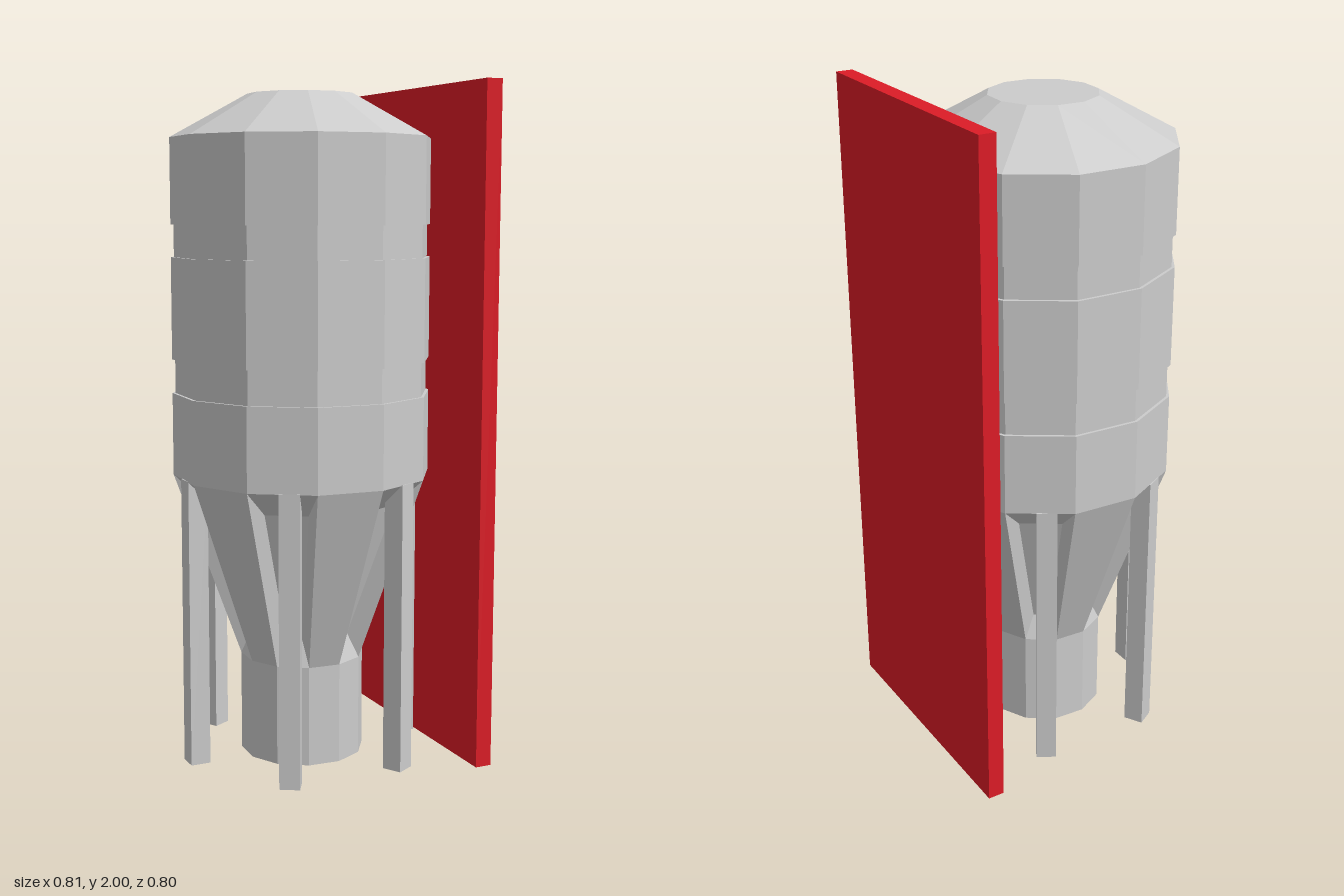
import * as THREE from 'three';

const SIDES = 12;
const STEP = (Math.PI * 2) / SIDES;
const TURN = THREE.MathUtils.degToRad(18); // angle of the first corner, from +x towards +z
const AXIS_X = -0.03;

const grey = new THREE.MeshStandardMaterial({ color: 0xcccccc, flatShading: true });
const red = new THREE.MeshStandardMaterial({ color: 0xdc1c26, flatShading: true });

function addMesh(parent, name, geometry, material = grey) {
  const mesh = new THREE.Mesh(geometry, material);
  mesh.name = name;
  parent.add(mesh);
  return mesh;
}

// Twelve-sided turned shell from a bottom-to-top profile of [radius, y]
function turned(profile) {
  const points = profile.map(([r, y]) => new THREE.Vector2(r, y));
  return new THREE.LatheGeometry(points, SIDES, Math.PI / 2 - TURN);
}

// Tapered hopper: every second facet carries a recessed panel behind a leg
function hopperGeometry(bottom, top) {
  const positions = [];
  const quad = (a, b, c, d) => {
    for (const p of [a, b, c, a, c, d]) positions.push(p.x, p.y, p.z);
  };
  const ringPoint = (i, { r, y }) =>
    new THREE.Vector3(r * Math.cos(TURN + i * STEP), y, r * Math.sin(TURN + i * STEP));

  for (let i = 0; i < SIDES; i++) {
    const outer = [
      ringPoint(i, bottom), ringPoint(i, top), ringPoint(i + 1, top), ringPoint(i + 1, bottom),
    ];
    if (i % 2 === 0) {
      quad(...outer);
      continue;
    }
    // Recess floor, given by distance from the axis, half width and height
    const mid = TURN + (i + 0.5) * STEP;
    const floorPoint = (dist, side, y) => new THREE.Vector3(
      dist * Math.cos(mid) - side * Math.sin(mid), y, dist * Math.sin(mid) + side * Math.cos(mid));
    const inner = [
      floorPoint(0.154, -0.024, 0.375), floorPoint(0.297, -0.063, 0.78),
      floorPoint(0.297, 0.063, 0.78), floorPoint(0.154, 0.024, 0.375),
    ];
    quad(...inner);
    for (let k = 0; k < 4; k++) {
      const n = (k + 1) % 4;
      quad(outer[k], outer[n], inner[n], inner[k]);
    }
  }
  const geometry = new THREE.BufferGeometry();
  geometry.setAttribute('position', new THREE.Float32BufferAttribute(positions, 3));
  geometry.computeVertexNormals();
  return geometry;
}

export function createModel() {
  const model = new THREE.Group();
  model.name = 'silo';

  const tank = new THREE.Group();
  tank.name = 'tank';
  tank.position.x = AXIS_X;
  model.add(tank);

  // Body with two shallow grooves, sloped roof and flat cap
  const R = 0.385, G = 0.376;
  addMesh(tank, 'body', turned([
    [R, 0.855], [R, 1.1], [G, 1.1], [G, 1.2], [R, 1.2],
    [R, 1.5], [G, 1.5], [G, 1.595], [R, 1.595], [R, 1.845],
  ]));
  addMesh(tank, 'roof', turned([[R, 1.845], [0.158, 1.97], [0, 1.97]]));

  // Hopper and outlet below it
  addMesh(tank, 'hopper', hopperGeometry({ r: 0.186, y: 0.3 }, { r: R, y: 0.855 }));
  addMesh(tank, 'outlet', turned([[0, 0], [0.186, 0], [0.186, 0.3]]));

  // Six legs around the hopper
  const legGeometry = new THREE.BoxGeometry(0.06, 0.857, 0.06);
  for (let i = 0; i < 6; i++) {
    const angle = (i * Math.PI) / 3;
    const leg = addMesh(tank, 'leg', legGeometry);
    leg.position.set(0.345 * Math.cos(angle), 0.4285, 0.345 * Math.sin(angle));
    leg.rotation.y = -angle;
  }

  // Tall upright board on the left side
  const board = addMesh(model, 'sideBoard', new THREE.BoxGeometry(0.05, 2, 0.8), red);
  board.position.set(0.379, 1, 0);

  return model;
}
